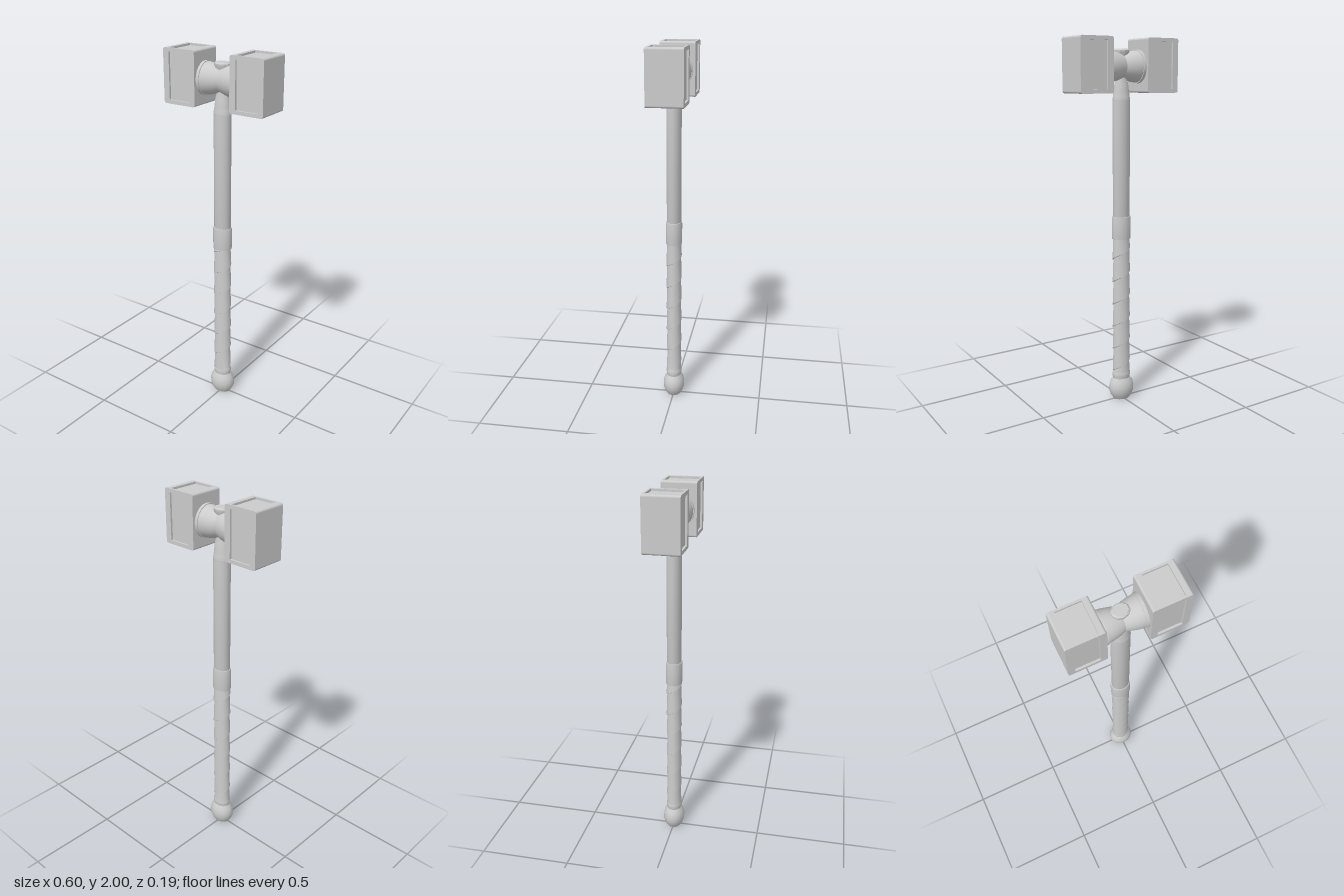
import * as THREE from 'three';
import { toCreasedNormals } from 'three/addons/utils/BufferGeometryUtils.js';
import { ParametricGeometry } from 'three/addons/geometries/ParametricGeometry.js';

const grey = new THREE.MeshStandardMaterial({ color: 0xcccccc });
const greyDouble = new THREE.MeshStandardMaterial({ color: 0xcccccc, side: THREE.DoubleSide });

function add(parent, name, geometry, material = grey) {
  const mesh = new THREE.Mesh(geometry, material);
  mesh.name = name;
  parent.add(mesh);
  return mesh;
}

function lathe(profile, sides = 16) {
  const points = profile.map(([r, y]) => new THREE.Vector2(r, y));
  return toCreasedNormals(new THREE.LatheGeometry(points, sides), 0.6);
}

// Rectangular plate with rounded corners and a window, lying in the xy plane
function framePlate(w, h, r, holeW, holeH, depth) {
  const x = w / 2 - r, y = h / 2 - r;
  const shape = new THREE.Shape();
  if (r > 0) {
    shape.absarc(x, y, r, 0, Math.PI / 2);
    shape.absarc(-x, y, r, Math.PI / 2, Math.PI);
    shape.absarc(-x, -y, r, Math.PI, Math.PI * 1.5);
    shape.absarc(x, -y, r, Math.PI * 1.5, Math.PI * 2);
  } else {
    shape.moveTo(x, y).lineTo(-x, y).lineTo(-x, -y).lineTo(x, -y);
  }
  shape.closePath();
  const a = holeW / 2, b = holeH / 2;
  const hole = new THREE.Path();
  hole.moveTo(-a, -b).lineTo(-a, b).lineTo(a, b).lineTo(a, -b).closePath();
  shape.holes.push(hole);
  return new THREE.ExtrudeGeometry(shape, { depth, bevelEnabled: false, curveSegments: 4 });
}

// Hammer block with recessed panels on front, back, top and bottom
function hammerBlock() {
  const W = 0.194, H = 0.284, D = 0.19, t = 0.011;
  const block = new THREE.Group();
  add(block, 'blockCore', new THREE.BoxGeometry(W, H - 2 * t, D - 2 * t));
  for (const s of [1, -1]) {
    const face = add(block, s > 0 ? 'frontFrame' : 'backFrame', framePlate(W, H, t, 0.125, 0.245, t));
    face.position.z = s * (D / 2 - t);
    if (s < 0) face.rotation.y = Math.PI;

    const cap = add(block, s > 0 ? 'topFrame' : 'bottomFrame',
      framePlate(W - 2 * t, D - 2 * t, 0, 0.125, 0.167, t));
    cap.position.y = s * (H / 2 - t);
    cap.rotation.x = -s * Math.PI / 2;

    for (const e of [1, -1]) {
      const edge = add(block, 'roundedEdge', new THREE.CylinderGeometry(t, t, D - 2 * t, 16));
      edge.rotation.x = Math.PI / 2;
      edge.position.set(e * (W / 2 - t), s * (H / 2 - t), 0);
    }
  }
  return block;
}

// Leather strip wound round the grip, each turn overlapping the one below
function gripWrap(y0, y1, pitch) {
  const turns = (y1 - y0) / pitch + 1;
  return toCreasedNormals(new ParametricGeometry((u, v, target) => {
    const angle = u * turns * Math.PI * 2;
    const base = y0 - pitch + u * turns * pitch;
    const r = v === 0 ? 0.045 : v < 0.6 ? 0.0515 : 0.0465;
    const y = base + (v === 0 ? 0 : v < 0.6 ? 0.003 : pitch);
    target.set(r * Math.sin(angle), THREE.MathUtils.clamp(y, y0, y1), r * Math.cos(angle));
  }, Math.round(turns * 16), 2), 0.6);
}

export function createModel() {
  const model = new THREE.Group();
  model.name = 'warHammer';

  // Handle, slightly oval in section
  const handle = new THREE.Group();
  handle.name = 'handle';
  handle.scale.z = 0.83;
  model.add(handle);

  add(handle, 'pommel', lathe([
    [0, 0], [0.048, 0], [0.062, 0.02], [0.072, 0.045], [0.073, 0.07],
    [0.066, 0.1], [0.05, 0.122], [0.052, 0.135], [0.053, 0.15], [0.047, 0.165], [0, 0.165],
  ]));
  add(handle, 'shaft', lathe([[0.045, 0.13], [0.045, 0.93], [0.048, 0.94], [0.049, 1.68]]));
  add(handle, 'gripWrap', gripWrap(0.14, 0.94, 0.13), greyDouble);
  add(handle, 'gripCollar', lathe([
    [0.04, 0.93], [0.053, 0.93], [0.0545, 0.94], [0.0545, 1.045], [0.053, 1.055], [0.04, 1.055],
  ]));
  add(handle, 'neck', lathe([
    [0.04, 1.672], [0.049, 1.675], [0.05, 1.685], [0.046, 1.7], [0.044, 1.72],
    [0.038, 1.765], [0.03, 1.795], [0.03, 1.86],
  ]));
  add(handle, 'topPin', lathe([
    [0.03, 1.86], [0.034, 1.9], [0.045, 1.925], [0.045, 1.936], [0.037, 1.943], [0, 1.943],
  ], 10));

  // Waisted spool joining the two blocks
  const spool = add(model, 'headSpool', lathe([
    [0, -0.11], [0.088, -0.11], [0.088, -0.09], [0.084, -0.09], [0.08, -0.06], [0.072, -0.028],
    [0.062, 0],
    [0.072, 0.028], [0.08, 0.06], [0.084, 0.09], [0.088, 0.09], [0.088, 0.11], [0, 0.11],
  ], 32));
  spool.rotation.z = Math.PI / 2;
  spool.scale.z = 0.94;
  spool.position.y = 1.853;

  for (const s of [1, -1]) {
    const block = hammerBlock();
    block.name = s > 0 ? 'leftBlock' : 'rightBlock';
    block.position.set(s * 0.203, 1.858, 0);
    model.add(block);
  }
  return model;
}
